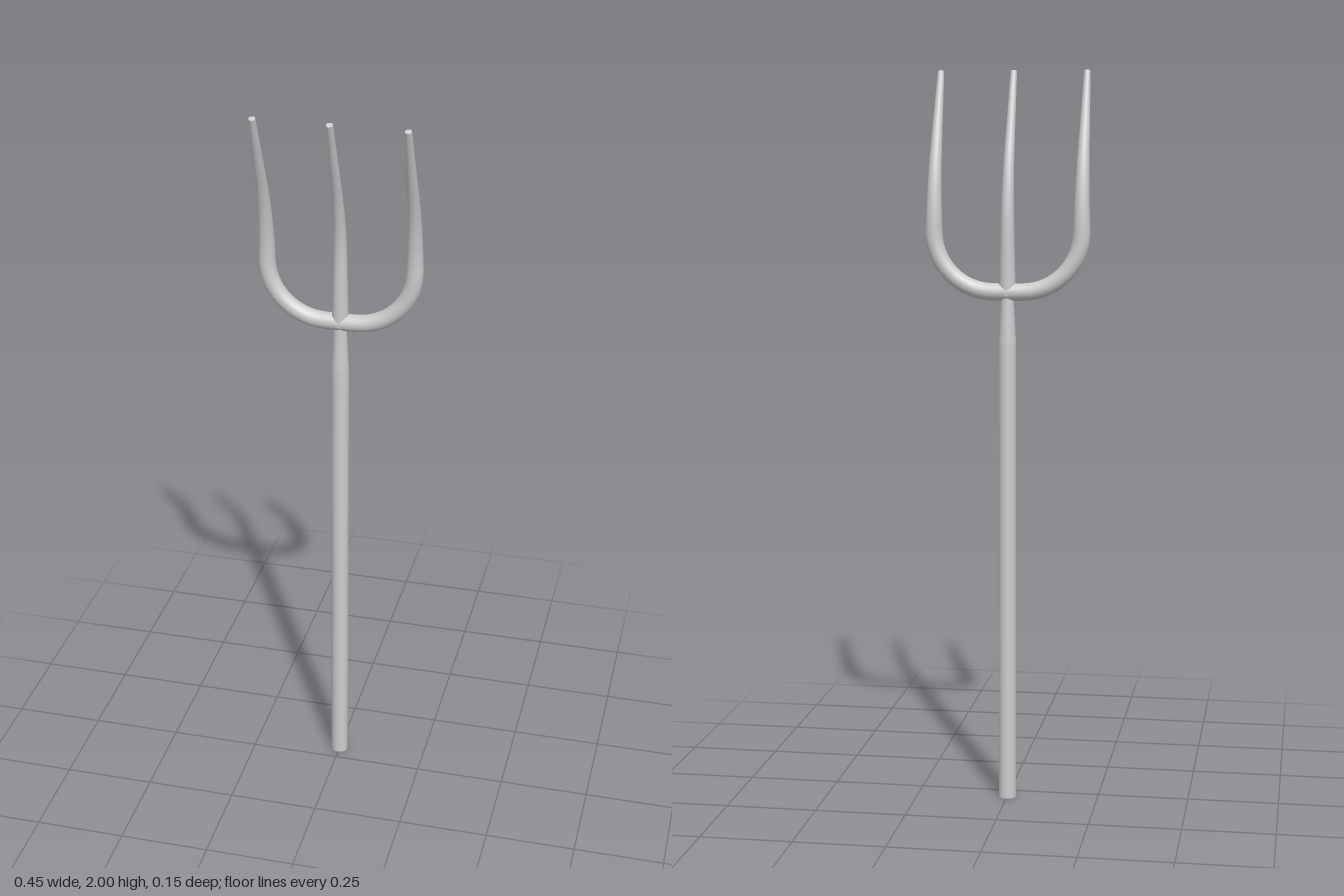
import * as THREE from 'three';

const Z = -0.049; // depth of the handle axis
const TOP = 1.997;
const material = new THREE.MeshStandardMaterial({ color: 0xcccccc });

// Forward sweep of the tines: straight, then a bend, then a straight slope
function tineZ(y) {
  if (y < 1.58) return Z;
  if (y < 1.8) return Z + 0.041 * ((y - 1.58) / 0.22) ** 2;
  return Z + 0.041 + 0.373 * (y - 1.8);
}

// Capped tube whose radius depends on the height of its centre line
function taperedTube(name, points, radiusAt, segments) {
  const group = new THREE.Group();
  group.name = name;
  const sides = 20;
  const curve = new THREE.CatmullRomCurve3(points, false, 'centripetal');
  const geometry = new THREE.TubeGeometry(curve, segments, 1, sides);
  const pos = geometry.attributes.position;
  const v = new THREE.Vector3();
  for (let i = 0; i <= segments; i++) {
    const c = curve.getPointAt(i / segments);
    for (let j = 0; j <= sides; j++) {
      const k = i * (sides + 1) + j;
      v.fromBufferAttribute(pos, k).sub(c).multiplyScalar(radiusAt(c.y)).add(c);
      pos.setXYZ(k, v.x, v.y, v.z);
    }
  }
  group.add(new THREE.Mesh(geometry, material));
  for (const t of [0, 1]) {
    const c = curve.getPointAt(t);
    const out = curve.getTangentAt(t).multiplyScalar(t ? 1 : -1);
    const cap = new THREE.Mesh(new THREE.CircleGeometry(radiusAt(c.y), sides), material);
    cap.position.copy(c);
    cap.quaternion.setFromUnitVectors(new THREE.Vector3(0, 0, 1), out);
    group.add(cap);
  }
  group.children.forEach((m) => { m.name = name; });
  return group;
}

// Centre line of a tine at a given x, from height y0 up to the tip
function tinePoints(x, y0, count) {
  return Array.from({ length: count + 1 }, (_, i) => {
    const y = y0 + (TOP - y0) * i / count;
    return new THREE.Vector3(x, y, tineZ(y));
  });
}

export function createModel() {
  const model = new THREE.Group();

  // Handle: straight shaft narrowing into the fork
  const profile = [[0, 0], [0.024, 0], [0.024, 0], [0.024, 1.27], [0.024, 1.27], [0.017, 1.4], [0.017, 1.4], [0, 1.4]];
  const handle = new THREE.Mesh(
    new THREE.LatheGeometry(profile.map(([r, y]) => new THREE.Vector2(r, y)), 24), material);
  handle.name = 'handle';
  handle.position.z = Z;
  model.add(handle);

  // Outer tines: one bar bent into a U with rounded corners
  const bend = 0.16, side = 0.2, base = 1.409;
  const half = [];
  for (let i = 0; i <= 8; i++) {
    const a = (i / 8) * Math.PI / 2;
    half.push(new THREE.Vector3(
      side - bend + bend * Math.sin(a), base + bend * (1 - Math.cos(a)), Z));
  }
  half.push(...tinePoints(side, base + bend + 0.03, 10));
  const mirrored = half.map((p) => new THREE.Vector3(-p.x, p.y, p.z)).reverse();
  model.add(taperedTube('outerTines', [...mirrored, ...half],
    (y) => 0.0235 - 0.0145 * Math.max(0, (y - 1.57) / (TOP - 1.57)), 110));

  // Middle tine
  model.add(taperedTube('middleTine', tinePoints(0, 1.4, 14),
    (y) => 0.023 - 0.014 * (y - 1.4) / (TOP - 1.4), 40));

  return model;
}
